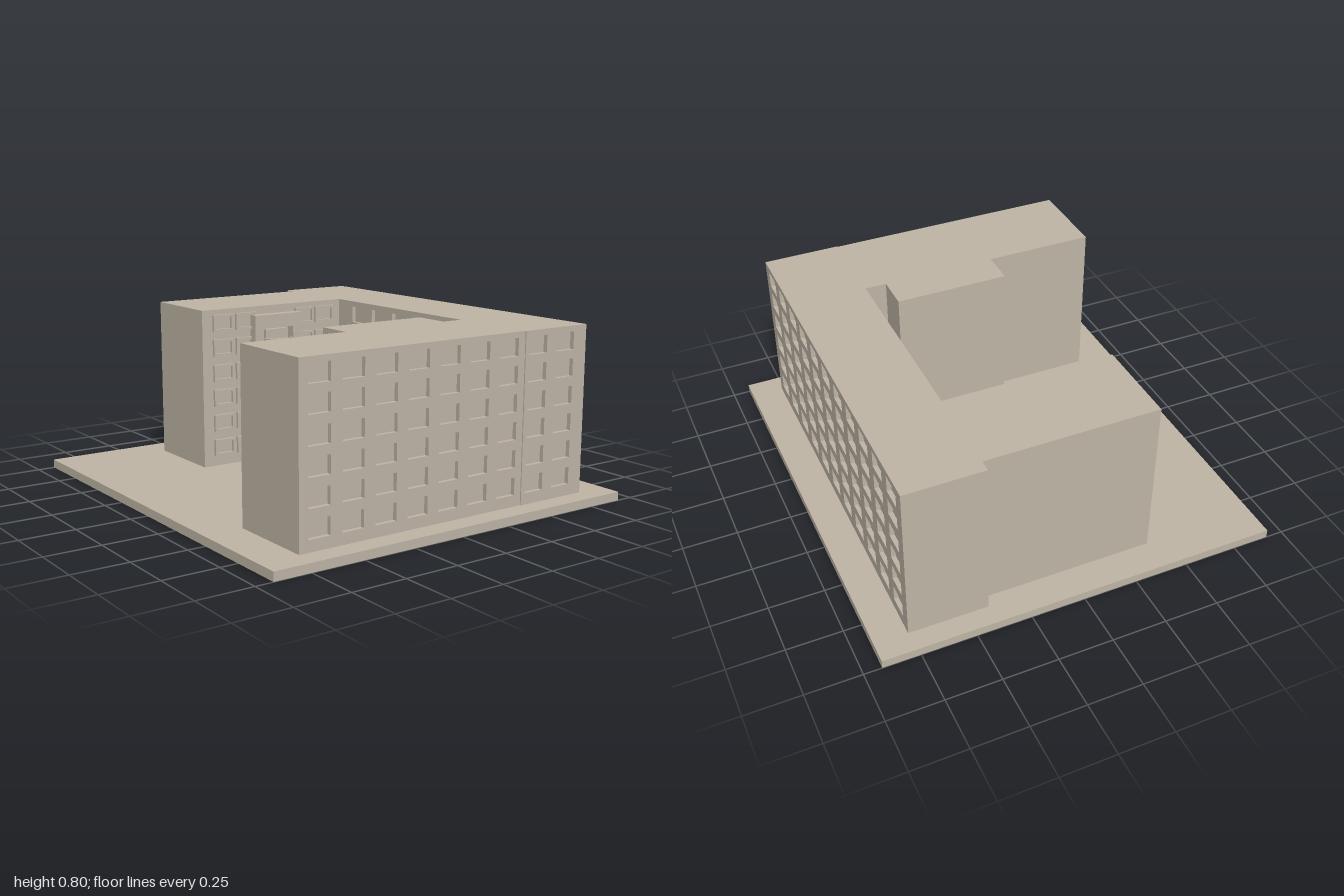
import * as THREE from 'three';

const GROUND = 0.04, ROOF = 0.8, RECESS = 0.02;
const ROWS = [0.13, 0.252, 0.374, 0.495, 0.617, 0.735];
const WIN_W = 0.104, WIN_H = 0.078;

const stone = new THREE.MeshStandardMaterial({ color: 0xbeb5a6 });
stone.name = 'warm stone';

function add(parent, geometry, name, x = 0, y = 0, z = 0) {
  const mesh = new THREE.Mesh(geometry, stone);
  mesh.name = name;
  mesh.position.set(x, y, z);
  parent.add(mesh);
  return mesh;
}

// Box given by its limits on each axis
function block(parent, name, x0, x1, y0, y1, z0, z1) {
  return add(parent, new THREE.BoxGeometry(x1 - x0, y1 - y0, z1 - z0), name,
    (x0 + x1) / 2, (y0 + y1) / 2, (z0 + z1) / 2);
}

function rectPoints(x0, x1, y0, y1) {
  return [[x0, y0], [x1, y0], [x1, y1], [x0, y1]].map(p => new THREE.Vector2(...p));
}

// Flat plate with openings, thickness running along +z
function plate(points, holes, depth) {
  const shape = new THREE.Shape(points);
  holes.forEach(h => shape.holes.push(new THREE.Path(h)));
  return new THREE.ExtrudeGeometry(shape, { depth, bevelEnabled: false, curveSegments: 12 });
}

// Polygon in plan (x, z), raised from y0 to y1
function prism(plan, y0, y1) {
  const g = plate(plan.map(([x, z]) => new THREE.Vector2(x, -z)), [], y1 - y0);
  return g.rotateX(-Math.PI / 2).translate(0, y0, 0);
}

// Outer wall layer pierced by a grid of windows
function facade(parent, name, u0, u1, columns, turn, x, z) {
  const holes = [];
  for (const u of columns) for (const y of ROWS) {
    holes.push(rectPoints(u - WIN_W / 2, u + WIN_W / 2, y - WIN_H / 2, y + WIN_H / 2));
  }
  const mesh = add(parent, plate(rectPoints(u0, u1, GROUND, ROOF), holes, RECESS), name, x, 0, z);
  mesh.rotation.y = turn;
}

const series = (start, step, count) => Array.from({ length: count }, (_, i) => start + i * step);

export function createModel() {
  const model = new THREE.Group();
  model.name = 'apartmentBlock';

  block(model, 'basePlate', -1, 1, 0, GROUND, -0.92, 0.92);

  // Solid core, set back behind the windowed walls
  add(model, prism([
    [-0.905, -0.75], [0.885, -0.75], [0.885, -0.41], [0.88, -0.41], [0.88, 0.74],
    [0.49, 0.74], [0.49, 0.225], [0.325, 0.225], [0.325, -0.31], [0.49, -0.31],
    [0.49, -0.43], [-0.435, -0.43], [-0.435, 0.385], [-0.85, 0.385],
    [-0.85, -0.41], [-0.905, -0.41],
  ], GROUND, ROOF), 'buildingCore');

  // Windowed walls
  facade(model, 'backWall', -0.905, 0.905, series(-0.8, 0.16, 11), Math.PI, 0, -0.75);
  facade(model, 'courtyardWall', -0.435, 0.49, series(-0.27, 0.16, 5), 0, 0, -0.43);
  facade(model, 'leftWallRear', 0.41, 0.75, [0.482, 0.643], Math.PI / 2, 0.885, 0);
  facade(model, 'leftWall', -0.74, 0.41, series(-0.645, 0.161, 7), Math.PI / 2, 0.88, 0);

  // Raised window frames on the inner face of the right wing
  const frames = new THREE.Group();
  frames.name = 'raisedWindowFrames';
  model.add(frames);
  for (const z of [-0.31, -0.19, 0.15, 0.275]) for (const y of ROWS) {
    const w = 0.055, h = 0.04;
    const frame = add(frames, plate(rectPoints(-w, w, -h, h),
      [rectPoints(-w + 0.012, w - 0.012, -h + 0.012, h - 0.012)], 0.014), 'windowFrame', -0.435, y, z);
    frame.rotation.y = Math.PI / 2;
  }

  // Entrance bay
  const entrance = new THREE.Group();
  entrance.name = 'entrance';
  entrance.position.set(-0.435, 0, -0.015);
  model.add(entrance);
  const openings = [0.38, 0.505, 0.625].map(y => rectPoints(-0.085, 0.085, y - 0.015, y + 0.07));
  openings.push(rectPoints(-0.09, 0.09, 0.05, 0.24));
  const bay = add(entrance, plate(rectPoints(-0.133, 0.133, GROUND, 0.76), openings, 0.045), 'entranceBay');
  bay.rotation.y = Math.PI / 2;
  block(entrance, 'door', 0, 0.03, GROUND, 0.23, -0.075, -0.004);
  block(entrance, 'door', 0, 0.03, GROUND, 0.23, 0.004, 0.075);
  for (const y of [0.38, 0.505, 0.625]) block(entrance, 'bayWindow', 0, 0.025, y, y + 0.06, -0.06, 0.06);

  // Small arch over the door
  const arch = add(entrance, new THREE.TorusGeometry(0.03, 0.006, 6, 12, Math.PI), 'doorArch', 0.045, 0.28, 0);
  arch.rotation.y = Math.PI / 2;

  // Bowed balconies
  const bow = series(0, 1 / 12, 13).map(t => {
    const z = -0.09 + 0.18 * t;
    return [0.045 + 0.035 * (1 - (z / 0.09) ** 2), z];
  });
  const rail = bow.map(([x, z]) => new THREE.Vector3(x - 0.003, 0, z));
  for (const y of [0.362, 0.484, 0.605]) {
    add(entrance, prism([[0.044, -0.09], ...bow, [0.044, 0.09]].reverse(), y, y + 0.008), 'balconyFloor');
    add(entrance, new THREE.TubeGeometry(new THREE.CatmullRomCurve3(rail), 24, 0.003, 5), 'balconyRail', 0, y + 0.038, 0);
    for (const p of rail) {
      add(entrance, new THREE.BoxGeometry(0.004, 0.03, 0.004), 'baluster', p.x, y + 0.022, p.z);
    }
  }

  // Detached steps, rising away from the wall
  for (let i = 0; i < 5; i++) {
    const inset = i * 0.006;
    block(model, 'step', -0.355 + i * 0.016, i < 4 ? -0.339 + i * 0.016 : -0.25,
      GROUND, 0.053 + i * 0.0095, -0.182 + inset, 0.148 - inset);
  }

  return model;
}
